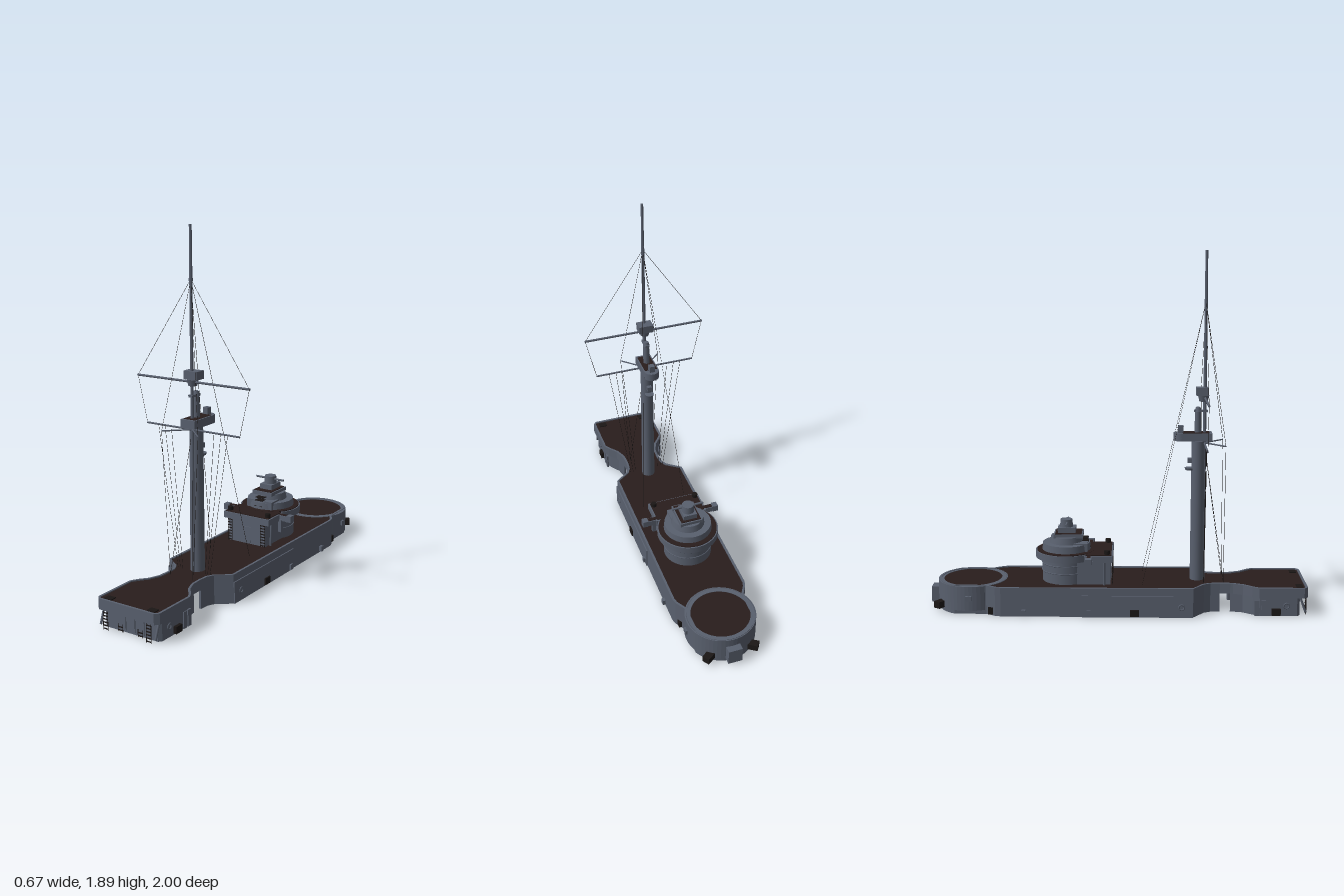
import * as THREE from 'three';

const mat = (name, color) => Object.assign(new THREE.MeshStandardMaterial({ color }), { name });

export function createModel() {
  const grey = mat('hull grey', 0x59606e);
  const brown = mat('deck brown', 0x291d1c);
  const dark = mat('rope black', 0x1b1716);
  grey.side = THREE.DoubleSide;
  const root = new THREE.Group();
  root.name = 'warship';

  const add = (name, geo, m, x = 0, y = 0, z = 0) => {
    const mesh = new THREE.Mesh(geo, m);
    mesh.name = name;
    mesh.position.set(x, y, z);
    root.add(mesh);
    return mesh;
  };
  const box = (name, w, h, d, x, y, z, m = grey) => add(name, new THREE.BoxGeometry(w, h, d), m, x, y, z);
  const pair = (name, w, h, d, x, y, z, m = grey) => [-1, 1].map(s => box(name, w, h, d, s * x, y, z, m));
  // Vertical cylinder given by its bottom and top heights
  const cyl = (name, r0, r1, y0, y1, z, m = grey, n = 32, x = 0) =>
    add(name, new THREE.CylinderGeometry(r1, r0, y1 - y0, n), m, x, (y0 + y1) / 2, z);
  // Plan outline in x and z, extruded downward from its top
  const plan = (name, pts, top, depth, m) => {
    const geo = new THREE.ExtrudeGeometry(new THREE.Shape(pts), { depth, bevelEnabled: false });
    return add(name, geo.rotateX(Math.PI / 2), m, 0, top, 0);
  };
  const rod = (name, a, b, r, m = dark, n = 4, r1 = r) => {
    const p = new THREE.Vector3(...a), q = new THREE.Vector3(...b), d = q.clone().sub(p);
    const mesh = add(name, new THREE.CylinderGeometry(r1, r, d.length(), n), m);
    mesh.position.copy(p).add(q).multiplyScalar(0.5);
    mesh.quaternion.setFromUnitVectors(new THREE.Vector3(0, 1, 0), d.normalize());
    return mesh;
  };
  const ladder = (x, y0, y1, z) => {
    for (const s of [-1, 1]) rod('ladderRail', [x + s * 0.014, y0, z], [x + s * 0.014, y1, z], 0.002, dark);
    for (let y = y0 + 0.008; y < y1; y += 0.016) box('ladderRung', 0.028, 0.004, 0.005, x, y, z, dark);
  };

  // Hull half outline from bow to stern, with a narrow neck and a round stern
  const V = (x, z) => new THREE.Vector2(x, z);
  const half = [[0, 0.995], [0.165, 0.995], [0.185, 0.975], [0.185, 0.74], [0.165, 0.705], [0.128, 0.66],
    [0.108, 0.61], [0.105, 0.595], [0.103, 0.54], [0.107, 0.49], [0.125, 0.455], [0.203, 0.395],
    [0.203, -0.61], [0.195, -0.64], [0.165, -0.69]].map(p => V(...p));
  for (let i = 0; i <= 14; i++) {
    const a = 0.45 + (i / 14) * (Math.PI / 2 - 0.45);
    half.push(V(0.18 * Math.cos(a), -0.78 - 0.18 * Math.sin(a)));
  }
  const inset = (pts, t) => pts.map((p, i) => {
    const d = pts[Math.min(i + 1, pts.length - 1)].clone().sub(pts[Math.max(i - 1, 0)]).normalize();
    if (Math.abs(p.x) < 1e-6) return V(0, p.y - Math.sign(p.y) * t);
    return V(p.x + d.y * t, p.y - d.x * t);
  });
  const wall = (pts, top, depth) => {
    const ring = [...pts, ...inset(pts, 0.012).reverse()];
    for (const s of [-1, 1]) plan('hullWall', ring.map(p => V(s * p.x, p.y)), top, depth, grey);
  };
  wall(half, 0.155, 0.055);
  wall(half.slice(8), 0.1, 0.1);
  // Lower bow, set back under the overhanging deck edge
  const lowerBow = [[0, 0.955], [0.155, 0.955], [0.17, 0.94], [0.17, 0.745], [0.15, 0.71],
    [0.115, 0.66], [0.1, 0.595]].map(p => V(...p));
  wall(lowerBow, 0.12, 0.12);

  // Deck: grey underside with a brown planked top
  const inner = inset(half, 0.009);
  const full = [...inner, ...inner.slice(1, -1).reverse().map(p => V(-p.x, p.y))];
  plan('deckUnderside', full, 0.142, 0.008, grey);
  plan('deck', full, 0.149, 0.007, brown);

  // Stern barbette
  const ring = new THREE.Shape().absarc(0, -0.78, 0.185, 0, Math.PI * 2);
  ring.holes.push(new THREE.Path().absarc(0, -0.78, 0.155, 0, Math.PI * 2));
  const ringGeo = new THREE.ExtrudeGeometry(ring, { depth: 0.13, bevelEnabled: false, curveSegments: 28 });
  add('barbetteRing', ringGeo.rotateX(Math.PI / 2), grey, 0, 0.152, 0);
  cyl('barbetteFloor', 0.158, 0.158, 0.14, 0.15, -0.78, brown, 40);
  const rim = add('barbetteRim', new THREE.TorusGeometry(0.178, 0.007, 6, 48), grey, 0, 0.146, -0.78);
  rim.rotation.x = Math.PI / 2;
  box('sternBlock', 0.075, 0.085, 0.045, 0, 0.065, -0.9775);
  for (const s of [-1, 1]) {
    const b = box('sternBollard', 0.055, 0.035, 0.04, s * 0.122, 0.04, -0.94, dark);
    b.rotation.y = s * 0.6;
    box('barbetteLug', 0.02, 0.025, 0.03, s * 0.185, 0.09, -0.78);
  }

  // Hull side plating, fenders, portholes and fittings
  pair('sidePlate', 0.008, 0.115, 0.58, 0.205, 0.0575, 0.105);
  for (const [x, z] of [[0.177, 0.83], [0.207, 0.09], [0.178, -0.655]])
    pair('sideFender', 0.02, 0.036, 0.046, x, 0.024, z, dark);
  for (const [x, z] of [[0.171, 0.885], [0.209, 0.335]]) {
    for (const s of [-1, 1]) {
      const p = add('porthole', new THREE.TorusGeometry(0.014, 0.004, 6, 20), grey, s * x, 0.055, z);
      p.rotation.y = Math.PI / 2;
    }
  }
  for (const z of [-0.15, -0.49]) pair('sideCleat', 0.022, 0.03, 0.022, 0.208, 0.022, z);
  for (const z of [0.765, 0.73]) pair('doorPlate', 0.009, 0.085, 0.025, 0.17, 0.043, z);

  // Bow face: panels, raked brackets and hanging ladders
  for (const x of [-0.055, 0, 0.055]) box('bowPanel', 0.045, 0.08, 0.006, x, 0.05, 0.957);
  for (const s of [-1, 1]) {
    ladder(s * 0.13, 0, 0.12, 0.99);
    ladder(s * 0.06, 0, 0.04, 0.965);
    rod('bowBracket', [s * 0.165, 0.02, 0.985], [s * 0.165, 0.13, 0.945], 0.006, grey, 6);
    box('bowHatch', 0.045, 0.006, 0.035, s * 0.13, 0.151, 0.955, dark);
  }

  // Deckhouse with bridge platform and side wings
  box('deckhouse', 0.23, 0.15, 0.22, 0, 0.215, -0.148);
  box('bridgePlatform', 0.29, 0.035, 0.15, 0, 0.293, -0.1);
  box('bridgeFloor', 0.272, 0.006, 0.135, 0, 0.312, -0.1, brown);
  box('bridgeWing', 0.4, 0.03, 0.03, 0, 0.293, -0.15);
  box('wingFloor', 0.37, 0.005, 0.02, 0, 0.309, -0.15, brown);
  pair('wingLamp', 0.03, 0.035, 0.035, 0.203, 0.295, -0.15);
  pair('wingBracket', 0.02, 0.07, 0.02, 0.15, 0.25, -0.14);
  for (const s of [-1, 1]) {
    ladder(s * 0.105, 0.15, 0.28, -0.028);
    cyl('bridgeLamp', 0.015, 0.015, 0.315, 0.335, -0.055, dark, 10, s * 0.12);
    rod('bridgeStrut', [s * 0.13, 0.15, -0.07], [s * 0.135, 0.28, -0.07], 0.006, grey, 6);
  }
  box('bridgeDoor', 0.045, 0.09, 0.006, 0, 0.2, -0.037);

  // Round conning tower and its platforms
  cyl('tower', 0.13, 0.13, 0.14, 0.31, -0.275, grey, 40);
  cyl('towerGallery', 0.165, 0.165, 0.275, 0.312, -0.275, grey, 40);
  cyl('galleryFloor', 0.158, 0.158, 0.31, 0.316, -0.275, brown, 40);
  for (const y of [0.205, 0.245]) {
    const band = add('towerBand', new THREE.TorusGeometry(0.131, 0.003, 6, 40), grey, 0, y, -0.275);
    band.rotation.x = Math.PI / 2;
  }
  cyl('upperTower', 0.13, 0.126, 0.315, 0.352, -0.275, grey, 40);
  cyl('towerRoof', 0.09, 0.082, 0.352, 0.388, -0.275, grey, 32);
  box('towerFront', 0.16, 0.05, 0.09, 0, 0.335, -0.205);
  box('directorPlatform', 0.125, 0.02, 0.155, 0, 0.394, -0.262);
  box('directorFloor', 0.11, 0.005, 0.14, 0, 0.405, -0.262, brown);
  box('directorHouse', 0.075, 0.03, 0.095, 0, 0.42, -0.272);
  cyl('director', 0.035, 0.032, 0.43, 0.476, -0.275, grey, 16);
  rod('rangefinder', [-0.088, 0.46, -0.27], [0.088, 0.46, -0.27], 0.006, grey, 8);
  for (let i = 0; i < 4; i++) box('towerStep', 0.05, 0.004, 0.035, 0, 0.33 + i * 0.015, -0.165 - i * 0.004, dark);

  // Mast: thick lower tube, slender pole, top platform and crow's nest
  cyl('lowerMast', 0.037, 0.034, 0.14, 0.9, 0.422, grey, 20);
  rod('mastPole', [0, 0.14, 0.455], [0, 1.65, 0.455], 0.01, grey, 10, 0.008);
  rod('topPole', [0, 1.6, 0.455], [0, 1.89, 0.455], 0.008, grey, 8, 0.007);
  cyl('poleCap', 0.01, 0.01, 1.62, 1.635, 0.455, grey, 8);
  box('mastTop', 0.085, 0.042, 0.16, 0, 0.924, 0.414);
  cyl('mastTopEnd', 0.042, 0.042, 0.903, 0.945, 0.335, grey, 20);
  box('mastTopFloor', 0.07, 0.004, 0.14, 0, 0.945, 0.41, brown);
  box('mastLamp', 0.03, 0.036, 0.03, 0, 0.963, 0.33);
  cyl('upperTube', 0.018, 0.016, 0.945, 1.06, 0.42, grey, 12);
  cyl('upperTubeCap', 0.019, 0.012, 1.055, 1.08, 0.42, grey, 12);
  box('mastBracket', 0.024, 0.012, 0.07, 0, 1.06, 0.435);
  box('crowsNest', 0.08, 0.042, 0.06, 0, 1.163, 0.44);
  cyl('crowsNestCollar', 0.022, 0.03, 1.11, 1.142, 0.448, grey, 12);
  cyl('searchlightShelf', 0.022, 0.026, 0.745, 0.757, 0.378, grey, 14);
  box('searchlight', 0.025, 0.025, 0.03, 0, 0.795, 0.382);

  // Yards
  rod('lowerYard', [-0.28, 0.89, 0.455], [0.28, 0.89, 0.455], 0.005, grey, 8);
  rod('upperYard', [-0.337, 1.13, 0.455], [0.337, 1.13, 0.455], 0.006, grey, 8);

  // Spreaders and rigging on both sides
  for (const s of [-1, 1]) {
    rod('spreader', [0, 0.89, 0.455], [s * 0.11, 0.89, 0.56], 0.004, grey, 6);
    const lines = [
      [[0, 1.63, 0.455], [s * 0.335, 1.13, 0.455], [s * 0.28, 0.89, 0.455]],
      [[0, 1.63, 0.455], [s * 0.11, 0.89, 0.56], [s * 0.07, 0.15, 0.56]],
      [[0, 1.63, 0.455], [s * 0.125, 0.15, 0.13]],
      [[s * 0.21, 0.89, 0.455], [s * 0.1, 0.15, 0.455]],
      [[s * 0.17, 0.89, 0.455], [s * 0.085, 0.15, 0.455]],
      [[s * 0.13, 0.89, 0.455], [s * 0.07, 0.15, 0.455]],
      [[0, 0.89, 0.455], [s * 0.07, 0.15, 0.56]],
    ];
    for (const l of lines) for (let i = 1; i < l.length; i++) rod('rigging', l[i - 1], l[i], 0.001);
  }
  return root;
}
